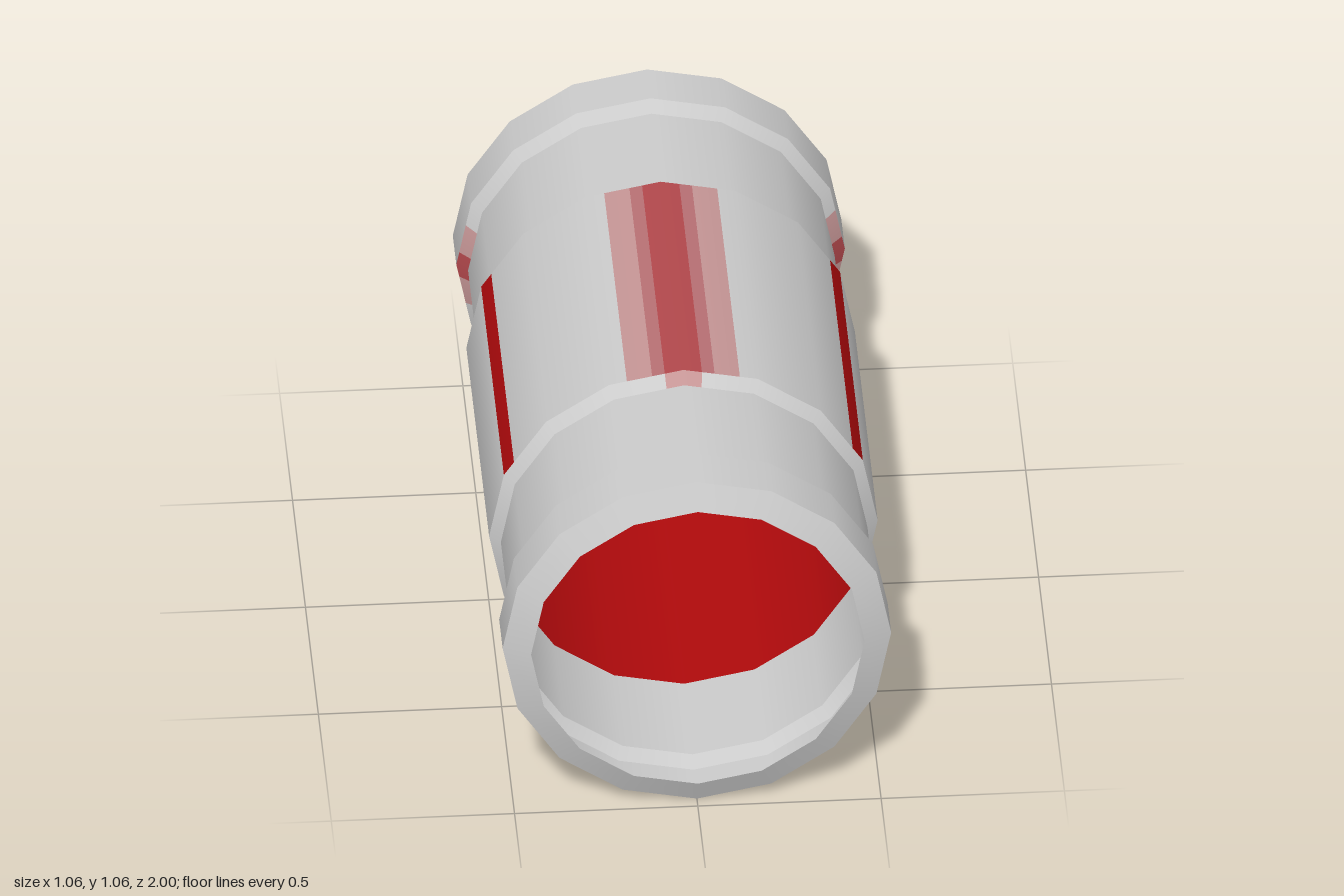
import * as THREE from 'three';

const SIDES = 16;
const CENTRE_Y = 0.53;

const paint = (name, color) => {
  const m = new THREE.MeshStandardMaterial({ color, side: THREE.DoubleSide });
  m.name = name;
  return m;
};

// Strip of the 16-sided shell between two rings [z, radius].
// u counts sides clockwise from the top (4 = the +x side); fractions lie along a flat side.
function stripGeometry([z0, r0], [z1, r1], from, to) {
  const us = [from];
  for (let k = Math.floor(from) + 1; k < to; k++) us.push(k);
  us.push(to);
  const corner = k => {
    const a = (k / SIDES) * Math.PI * 2;
    return new THREE.Vector2(Math.sin(a), Math.cos(a));
  };
  const pos = [], nor = [], idx = [];
  us.forEach((u, i) => {
    const k = Math.floor(u);
    const p = corner(k).lerp(corner(k + 1), u - k);
    const d = p.clone().normalize();
    const n = new THREE.Vector3(d.x * (z1 - z0), d.y * (z1 - z0), r0 - r1).normalize();
    for (const [z, r] of [[z0, r0], [z1, r1]]) {
      pos.push(p.x * r, CENTRE_Y + p.y * r, z);
      nor.push(n.x, n.y, n.z);
    }
    if (i > 0) {
      const a = 2 * i - 2, b = 2 * i;
      idx.push(a, a + 1, b, b, a + 1, b + 1);
    }
  });
  const g = new THREE.BufferGeometry();
  g.setAttribute('position', new THREE.Float32BufferAttribute(pos, 3));
  g.setAttribute('normal', new THREE.Float32BufferAttribute(nor, 3));
  g.setIndex(idx);
  return g;
}

export function createModel() {
  const grey = paint('greyMetal', 0xcccccc);
  const red = paint('redPaint', 0xb00a0c);
  const stain = paint('darkStain', 0xb2484c);
  const fade = paint('midStain', 0xb87074);
  const pale = paint('paleStain', 0xc69696);

  const model = new THREE.Group();
  model.name = 'openTube';

  // Each section lists colour spans from the top (u = 0) to the bottom (u = 8), mirrored left and right
  function section(name, ringA, ringB, spans) {
    const group = new THREE.Group();
    group.name = name;
    let start = 0;
    for (const [end, material] of spans) {
      for (const [a, b] of [[start, end], [-end, -start]]) {
        const mesh = new THREE.Mesh(stripGeometry(ringA, ringB, a, b), material);
        mesh.name = name + (a < 0 ? 'Right' : 'Left');
        group.add(mesh);
      }
      start = end;
    }
    model.add(group);
  }

  const plain = [[8, grey]];

  // Middle sleeve: stained top, thin side stripes and red belly panel
  section('middleSleeve', [-0.44, 0.53], [0.44, 0.53], [
    [0.25, stain], [0.42, fade], [0.76, pale], [2.76, grey], [3, red], [5, grey], [8, red],
  ]);

  // Both ends: name, z and radius of the inner and outer ring, colour spans
  const ends = [
    ['sleeveBevel', [0.44, 0.53], [0.47, 0.5], [[0.25, pale], [8, grey]]],
    ['neck', [0.47, 0.5], [0.8, 0.5], plain],
    ['collarBevel', [0.8, 0.5], [0.83, 0.53],
      [[3.36, grey], [3.8, pale], [4.2, stain], [4.64, pale], [8, grey]]],
    ['collar', [0.83, 0.53], [0.965, 0.53], plain],
    ['rimBevel', [0.965, 0.53], [1, 0.455], plain],
  ];
  for (const [name, a, b, spans] of ends) {
    section('front_' + name, a, b, spans);
    section('back_' + name, [-b[0], b[1]], [-a[0], a[1]], spans);
  }
  return model;
}
